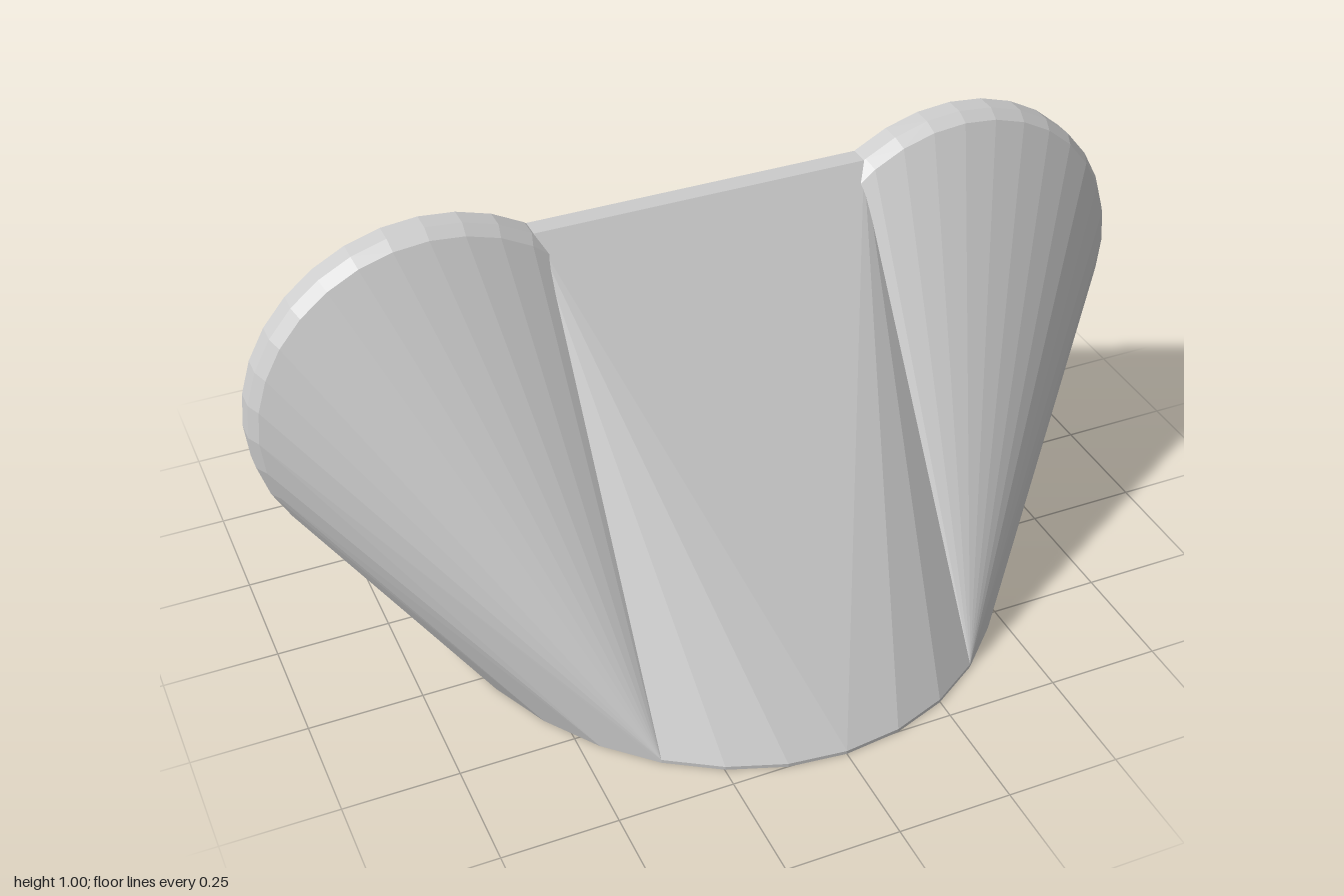
import * as THREE from 'three';
import { ConvexGeometry } from 'three/addons/geometries/ConvexGeometry.js';

const SEG = 32;

// Points around an elliptical ring; place(u, v) maps them into space
function ring(ru, rv, place) {
  return Array.from({ length: SEG }, (_, i) => {
    const a = (i / SEG) * Math.PI * 2;
    return place(ru * Math.cos(a), rv * Math.sin(a));
  });
}

export function createModel() {
  const group = new THREE.Group();
  const material = new THREE.MeshStandardMaterial({ color: 0xcccccc, flatShading: true });

  const addHull = (name, points) => {
    const mesh = new THREE.Mesh(new ConvexGeometry(points), material);
    mesh.name = name;
    group.add(mesh);
  };

  // Oval foot with a very thin rim, shared by all three bodies
  const foot = [0, 0.008].flatMap((y) =>
    ring(0.65, 0.765, (x, z) => new THREE.Vector3(x, y, z)));

  // Middle body: wedge from the foot up to a thin straight ridge
  const ridge = [];
  for (const x of [-0.374, 0.374]) {
    for (const z of [-0.025, 0.02]) ridge.push(new THREE.Vector3(x, 0.93, z));
  }
  addHull('middleBody', [...foot.filter((p) => Math.abs(p.x) < 0.37), ...ridge]);

  // Side lobes: outer part of the foot lofted to a thin upright disc
  const discRings = [[-0.025, 0.4], [0.02, 0.4], [0.05, 0.385]]; // z, radius
  for (const side of [1, -1]) {
    const disc = discRings.flatMap(([z, r]) =>
      ring(r, r, (u, v) => new THREE.Vector3(side * 0.6 + u, 0.6 + v, z)));
    const outerFoot = foot.filter((p) => p.x * side > 0.35);
    addHull(side > 0 ? 'leftLobe' : 'rightLobe', [...outerFoot, ...disc]);
  }

  return group;
}
